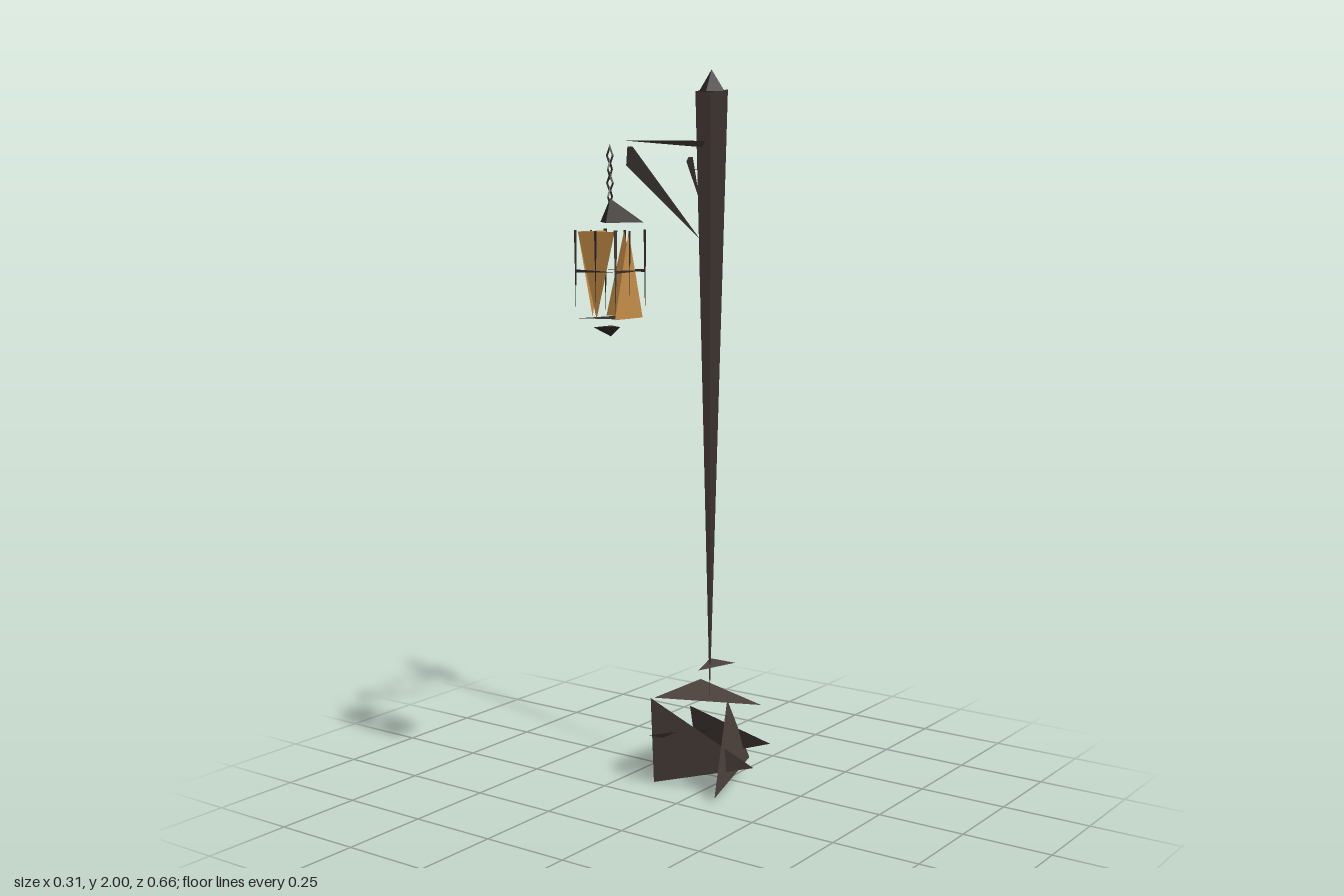
import * as THREE from 'three';

const mat = (name, color) => {
  const m = new THREE.MeshStandardMaterial({ color, side: THREE.DoubleSide, flatShading: true });
  m.name = name;
  return m;
};

export function createModel() {
  const root = new THREE.Group();
  root.name = 'lanternPost';
  const wood = mat('weathered wood', 0x4d423e);
  const iron = mat('dark iron', 0x332e2b);
  const amber = mat('amber glass', 0xc8904a);
  const CX = -0.018, CZ = 0.262, PZ = -0.19;

  // Flat-faced mesh from a list of triangles
  function facets(name, material, tris, parent = root) {
    const g = new THREE.BufferGeometry();
    g.setAttribute('position', new THREE.Float32BufferAttribute(tris.flat(2), 3));
    g.computeVertexNormals();
    const mesh = new THREE.Mesh(g, material);
    mesh.name = name;
    parent.add(mesh);
    return mesh;
  }
  // Pyramid over a loop of base points, with the base closed
  function spike(name, material, base, tip, parent = root) {
    const n = base.length, tris = [];
    base.forEach((p, i) => tris.push([p, base[(i + 1) % n], tip]));
    for (let i = 1; i < n - 1; i++) tris.push([base[0], base[i + 1], base[i]]);
    return facets(name, material, tris, parent);
  }

  // Tapering post, its cap and collars
  spike('post', wood, [
    [CX - 0.053, 1.945, PZ], [CX, 1.945, PZ + 0.005], [CX + 0.053, 1.945, PZ], [CX, 1.945, PZ - 0.005],
  ], [CX, 0.25, PZ]);
  spike('postCap', iron, [
    [CX - 0.042, 1.942, PZ], [CX, 1.942, PZ + 0.026], [CX + 0.042, 1.942, PZ], [CX, 1.942, PZ - 0.026],
  ], [CX, 2, PZ]);
  facets('upperCollar', wood, [[[-0.075, 1.735, -0.255], [-0.075, 1.735, -0.137], [0.068, 1.735, -0.196]]]);
  facets('lowerCollar', wood, [[[-0.055, 0.35, -0.247], [-0.01, 0.35, -0.12], [0.03, 0.35, -0.247]]]);

  // Broken base: one flat top and leaning shards
  const shards = {
    baseTop: [[-0.133, 0.26, -0.312], [-0.133, 0.26, -0.08], [0.152, 0.26, -0.196]],
    frontShard: [[-0.145, 0.257, -0.08], [-0.154, 0, -0.107], [0.147, 0.085, -0.165]],
    leftShard: [[0.055, 0.265, -0.17], [0.087, 0.015, -0.06], [0.03, 0.05, -0.325]],
    rightShard: [[-0.1, 0.175, -0.01], [-0.156, 0.06, -0.304], [-0.017, 0.137, -0.327]],
    backShard: [[0.135, 0.125, -0.27], [-0.135, 0.025, -0.297], [-0.1, 0.21, -0.21]],
  };
  for (const [name, t] of Object.entries(shards)) facets(name, wood, [t]);

  // Arm, brace and wedge
  spike('arm', iron, [[CX - 0.009, 1.81, -0.147], [CX + 0.009, 1.81, -0.147], [CX, 1.793, -0.147]], [CX, 1.804, 0.2]);
  spike('brace', iron, [[CX - 0.008, 1.79, 0.178], [CX + 0.008, 1.79, 0.178], [CX, 1.742, 0.194]], [CX, 1.545, -0.14]);
  spike('wedge', iron, [[CX - 0.007, 1.766, -0.092], [CX + 0.007, 1.766, -0.092], [CX, 1.755, -0.072]], [CX, 1.65, -0.135]);

  const lantern = new THREE.Group();
  lantern.name = 'lantern';
  lantern.position.set(CX, 0, CZ);
  root.add(lantern);

  // Chain of alternating pointed links
  for (let i = 0; i < 4; i++) {
    const link = new THREE.Mesh(new THREE.TorusGeometry(0.013, 0.0035, 3, 4), iron);
    link.name = 'chainLink';
    link.scale.set(0.75, 1.7, 1);
    link.position.y = 1.766 - i * 0.034;
    link.rotation.y = (i % 2) * Math.PI / 2;
    lantern.add(link);
  }

  // Hat, floor plate and bottom finial
  spike('lanternHat', iron, [[-0.058, 1.6, -0.035], [0.031, 1.6, 0.058], [0.06, 1.6, -0.06]], [0, 1.66, 0], lantern);
  facets('lanternFloor', iron, [[[-0.031, 1.36, -0.06], [-0.058, 1.36, 0.058], [0.06, 1.36, 0.029]]], lantern);
  spike('bottomFinial', iron, [[-0.02, 1.338, -0.03], [-0.02, 1.338, 0.045], [0.03, 1.338, 0]], [0, 1.313, 0], lantern);

  // Four sides: triangular pane, bars and corner post
  for (let i = 0; i < 4; i++) {
    const side = new THREE.Group();
    side.name = 'lanternSide';
    side.rotation.y = i * Math.PI / 2;
    lantern.add(side);
    const up = i % 4 === 1 || i % 4 === 2;
    const base = up ? 1.36 : 1.578, tip = up ? 1.578 : 1.36;
    facets('pane', amber, [[[-0.058, base, 0.058], [0.058, base, 0.058], [0, tip, 0.058]]], side);
    facets('crossBar', iron, [[[-0.064, 1.483, 0.061], [-0.064, 1.475, 0.061], [0.064, 1.479, 0.061]]], side);
    facets('uprightBar', iron, [[[-0.004, 1.58, 0.061], [0.004, 1.58, 0.061], [0, 1.4, 0.061]]], side);
    spike('cornerPost', iron, [[0.06, 1.582, 0.06], [0.068, 1.582, 0.06], [0.062, 1.582, 0.067]], [0.063, 1.36, 0.062], side);
  }
  return root;
}
